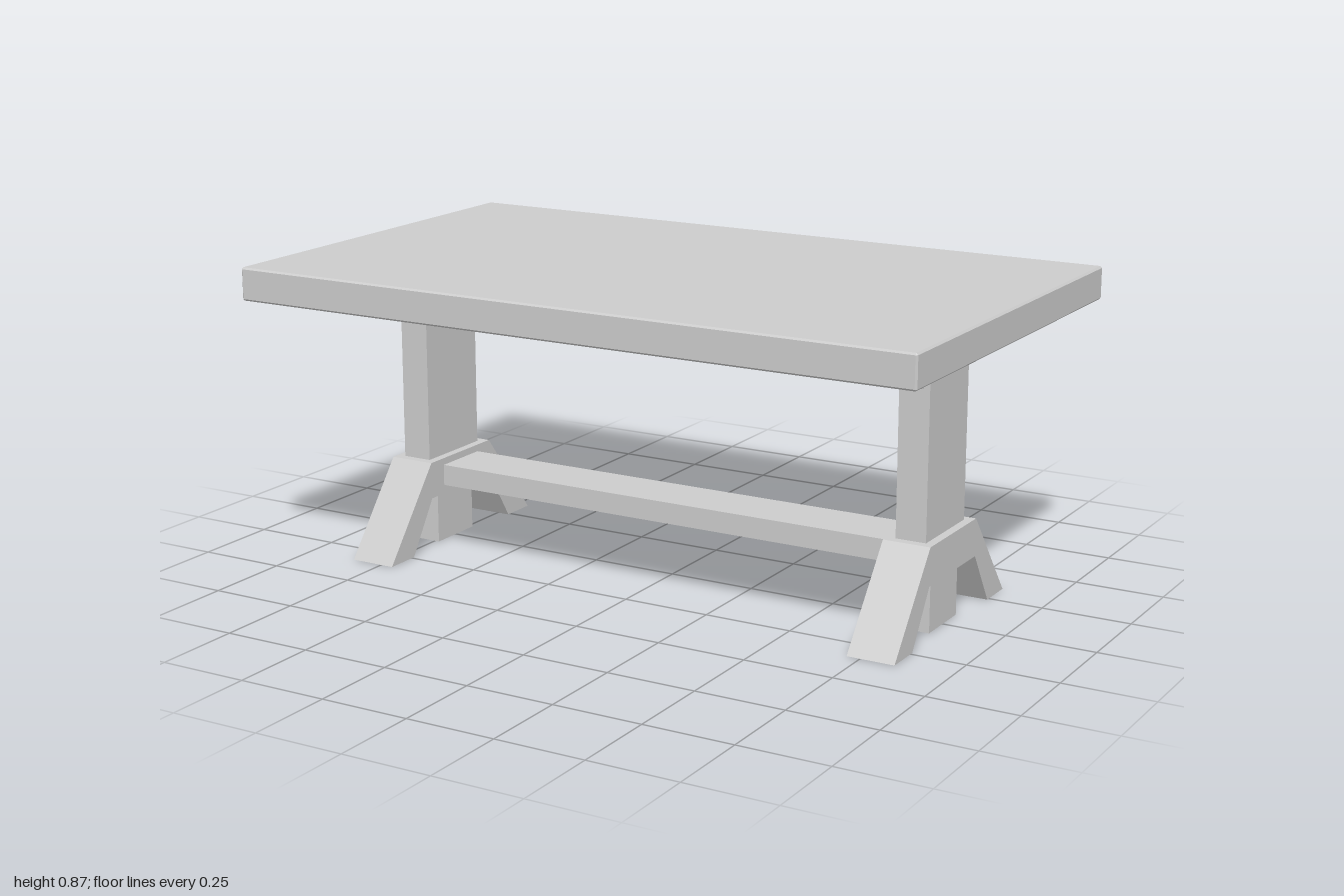
import * as THREE from 'three';
import { ConvexGeometry } from 'three/addons/geometries/ConvexGeometry.js';

const material = new THREE.MeshStandardMaterial({ color: 0xcccccc, flatShading: true });

function addMesh(parent, name, geometry) {
  const mesh = new THREE.Mesh(geometry, material);
  mesh.name = name;
  parent.add(mesh);
  return mesh;
}

function addBox(parent, name, w, d, y0, y1) {
  const mesh = addMesh(parent, name, new THREE.BoxGeometry(w, y1 - y0, d));
  mesh.position.y = (y0 + y1) / 2;
  return mesh;
}

// Extrudes a side profile of [z, y] points, centred across x.
function sideProfile(points, width) {
  const shape = new THREE.Shape(points.map(([z, y]) => new THREE.Vector2(-z, y)));
  const geometry = new THREE.ExtrudeGeometry(shape, { depth: width, bevelEnabled: false });
  return geometry.translate(0, 0, -width / 2).rotateY(Math.PI / 2);
}

// Box with narrow flat chamfers on every edge.
function chamferedBox(w, h, d, c) {
  const points = [];
  for (const x of [-w / 2, w / 2]) for (const y of [-h / 2, h / 2]) for (const z of [-d / 2, d / 2]) {
    const ix = x - Math.sign(x) * c, iy = y - Math.sign(y) * c, iz = z - Math.sign(z) * c;
    points.push(new THREE.Vector3(x, iy, iz), new THREE.Vector3(ix, y, iz), new THREE.Vector3(ix, iy, z));
  }
  return new ConvexGeometry(points);
}

function createTrestle() {
  const trestle = new THREE.Group();
  addBox(trestle, 'post', 0.086, 0.24, 0.255, 0.782);
  addBox(trestle, 'centreFoot', 0.086, 0.17, 0, 0.15);

  // Splayed foot
  const half = [[0.145, 0.255], [0.345, 0], [0.24, 0], [0.145, 0.15]];
  const mirrored = half.map(([z, y]) => [-z, y]).reverse();
  addMesh(trestle, 'splayedFoot', sideProfile([...half, ...mirrored], 0.134));

  // Angled braces under the top
  const brace = [[0.12, 0.66], [0.235, 0.695], [0.307, 0.782], [0.21, 0.782], [0.185, 0.745], [0.12, 0.757]];
  for (const side of [1, -1]) {
    const points = brace.map(([z, y]) => [z * side, y]);
    addMesh(trestle, side > 0 ? 'frontBrace' : 'backBrace', sideProfile(points, 0.05));
  }
  return trestle;
}

export function createModel() {
  const table = new THREE.Group();
  table.name = 'trestleTable';

  const top = addMesh(table, 'tableTop', chamferedBox(2, 0.092, 1.19, 0.005));
  top.position.y = 0.827;

  for (const side of [1, -1]) {
    const trestle = createTrestle();
    trestle.name = side > 0 ? 'leftTrestle' : 'rightTrestle';
    trestle.position.x = 0.779 * side;
    table.add(trestle);
  }

  // Beam joining the two trestles
  addBox(table, 'stretcher', 1.43, 0.17, 0.175, 0.235);
  return table;
}
